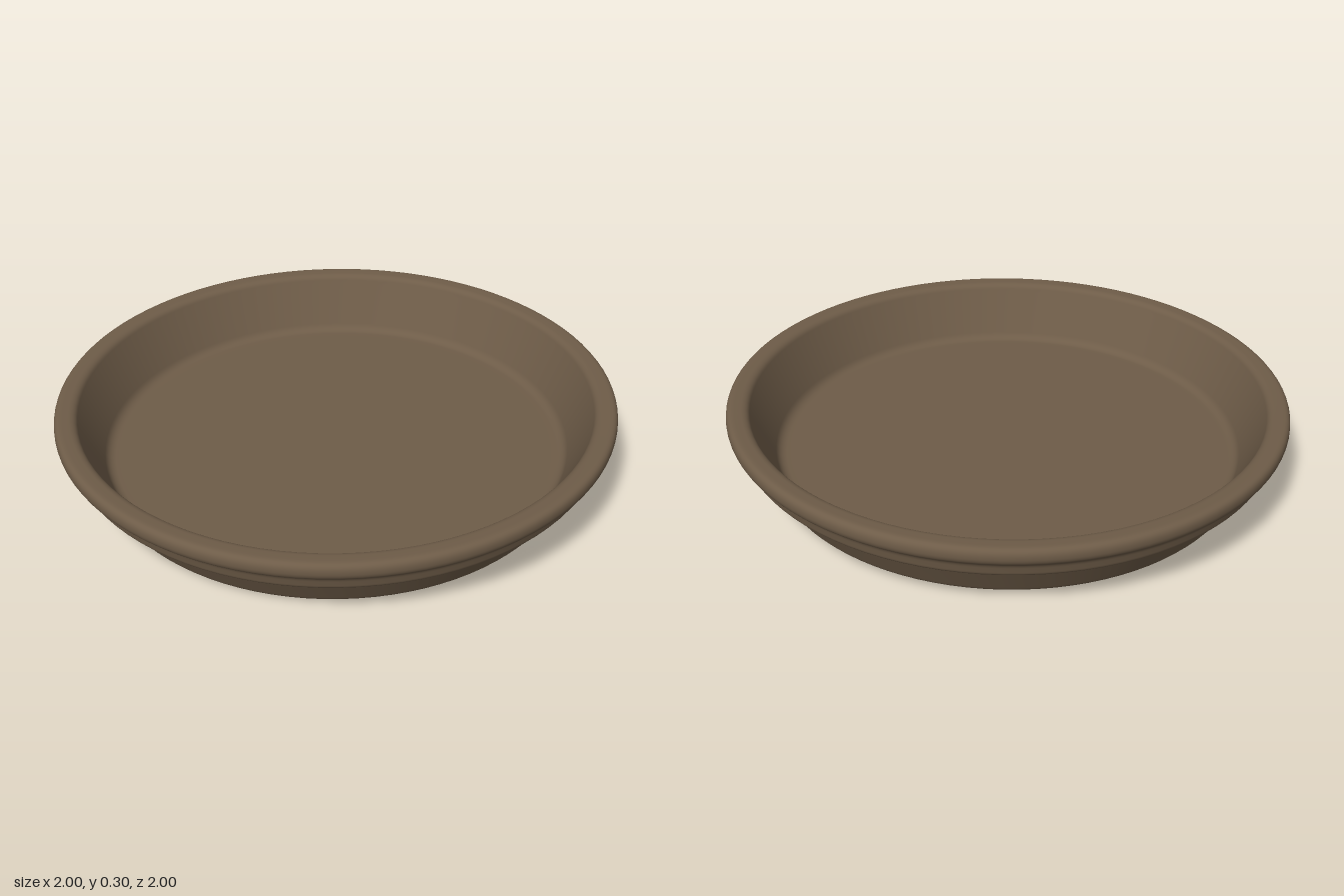
import * as THREE from 'three';

export function createModel() {
  const clay = new THREE.MeshStandardMaterial({ name: 'brown clay', color: 0x6e5c48 });
  const paper = new THREE.MeshStandardMaterial({ name: 'grey label', color: 0xc2c6c8 });

  const model = new THREE.Group();
  model.name = 'plantSaucer';

  // Saucer cross-section: underside, stepped outer wall, rolled rim, inner wall, floor
  const p = new THREE.Path();
  p.moveTo(0, 0.006);
  p.lineTo(0.6, 0.006);
  p.lineTo(0.63, 0.006);
  p.bezierCurveTo(0.66, 0.006, 0.67, 0, 0.7, 0); // shallow recess edge
  p.lineTo(0.73, 0);
  p.lineTo(0.8, 0);
  p.lineTo(0.815, 0);
  p.quadraticCurveTo(0.838, 0, 0.848, 0.02); // foot corner
  p.lineTo(0.852, 0.028);
  p.lineTo(0.895, 0.11);
  p.quadraticCurveTo(0.905, 0.13, 0.925, 0.135); // step under the band
  p.quadraticCurveTo(0.954, 0.142, 0.956, 0.16);
  p.lineTo(0.96, 0.178);
  p.quadraticCurveTo(0.964, 0.196, 0.979, 0.205); // groove below the rim
  p.quadraticCurveTo(0.996, 0.214, 0.998, 0.234);
  p.quadraticCurveTo(1.0, 0.264, 0.978, 0.268); // rolled rim
  p.lineTo(0.968, 0.268);
  p.lineTo(0.945, 0.267);
  p.quadraticCurveTo(0.923, 0.265, 0.916, 0.248);
  p.lineTo(0.91, 0.235);
  p.lineTo(0.837, 0.086);
  p.quadraticCurveTo(0.826, 0.062, 0.8, 0.06); // floor fillet
  p.lineTo(0.78, 0.06);
  p.lineTo(0, 0.06);

  const dish = new THREE.Mesh(new THREE.LatheGeometry(p.getPoints(6), 96), clay);
  dish.name = 'dish';
  model.add(dish);

  // Thin label stuck to the underside, slightly narrower at one end, with rounded corners
  const corners = [[-0.235, -0.072], [0.235, -0.087], [0.235, 0.087], [-0.235, 0.072]]
    .map(([x, y]) => new THREE.Vector2(x, y));
  const s = new THREE.Shape();
  corners.forEach((c, i) => {
    const toward = (q) => c.clone().add(q.clone().sub(c).setLength(0.015));
    const a = toward(corners[(i + 3) % 4]);
    const b = toward(corners[(i + 1) % 4]);
    if (i === 0) s.moveTo(a.x, a.y);
    else s.lineTo(a.x, a.y);
    s.quadraticCurveTo(c.x, c.y, b.x, b.y);
  });
  const labelGeo = new THREE.ExtrudeGeometry(s, { depth: 0.005, bevelEnabled: false, curveSegments: 4 });
  labelGeo.rotateX(Math.PI / 2);
  const label = new THREE.Mesh(labelGeo, paper);
  label.name = 'undersideLabel';
  label.position.set(-0.128, 0.008, 0.319);
  label.rotation.y = 0.19;
  model.add(label);

  // The saucer sits very slightly tilted
  model.rotation.set(0.004, 0, 0.015);
  model.position.set(0.004, 0.013, 0);

  const root = new THREE.Group();
  root.name = 'saucer';
  root.add(model);
  return root;
}
